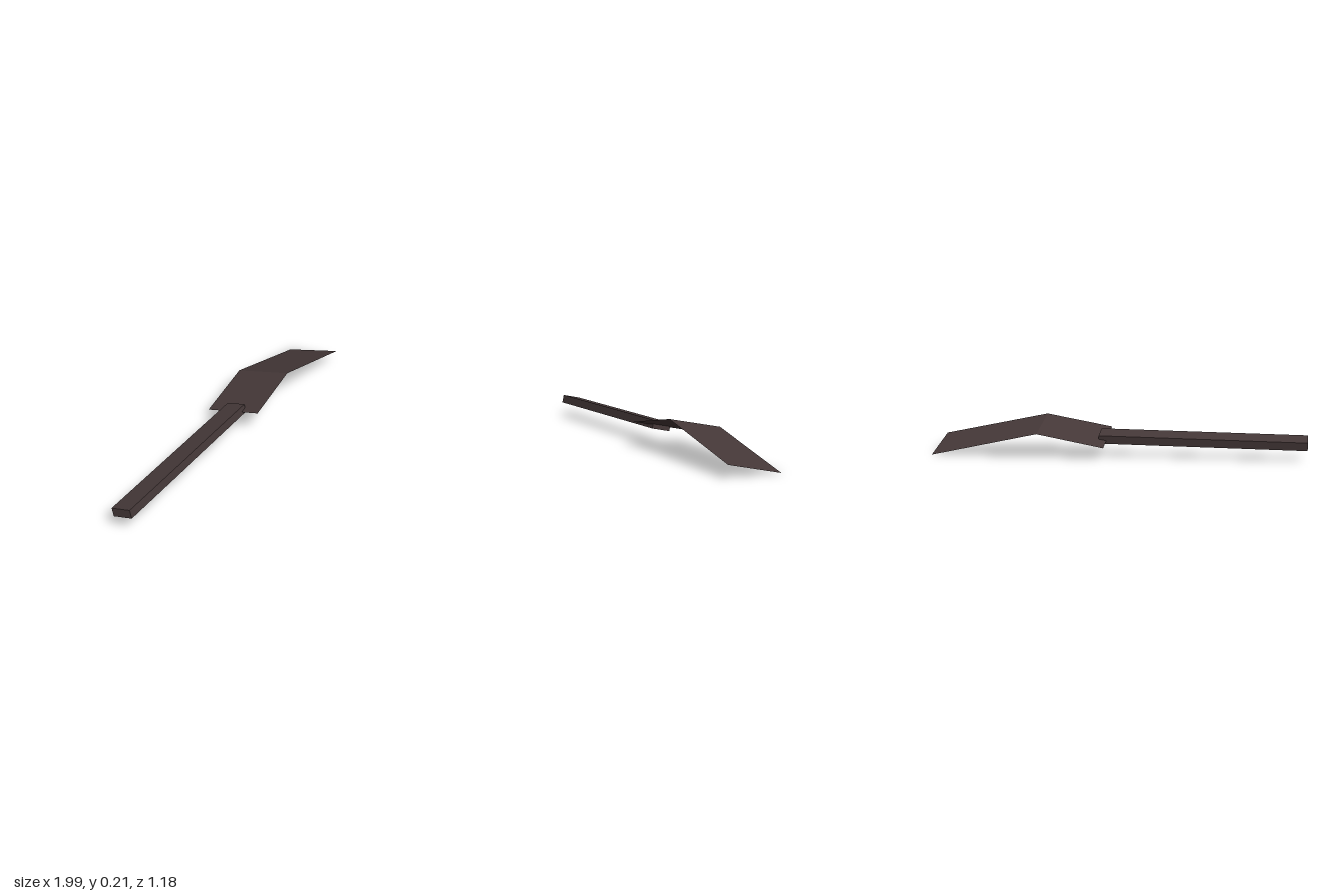
import * as THREE from 'three';

const v = (x, y, z) => new THREE.Vector3(x, y, z);

// Square bar running between two centre points, rolled toward a width direction
function bar(start, end, widthDir, width, thickness, material) {
  const along = end.clone().sub(start);
  const length = along.length();
  along.normalize();
  const up = widthDir.clone().cross(along).normalize();
  const across = along.clone().cross(up);
  const geometry = new THREE.BoxGeometry(length, thickness, width);
  geometry.applyMatrix4(new THREE.Matrix4().makeBasis(along, up, across));
  const mesh = new THREE.Mesh(geometry, material);
  mesh.position.copy(start).add(end).multiplyScalar(0.5);
  return mesh;
}

// Flat sheet folded at each cross-section, with a hard crease at each fold
function foldedSheet(sections, material) {
  const points = [];
  for (let i = 0; i < sections.length - 1; i++) {
    const [a, b] = sections[i];
    const [c, d] = sections[i + 1];
    points.push(a, b, d, a, d, c);
  }
  const geometry = new THREE.BufferGeometry().setFromPoints(points);
  geometry.computeVertexNormals();
  return new THREE.Mesh(geometry, material);
}

export function createModel() {
  const group = new THREE.Group();
  group.name = 'paddle';

  const darkBrown = new THREE.MeshStandardMaterial({ color: 0x453838, side: THREE.DoubleSide });
  darkBrown.name = 'darkBrown';

  // Long straight handle, its tip pushed through the blade
  const handle = bar(v(-0.969, 0.1, 0.535), v(0.069, 0.11, -0.016),
    v(0.055, 0.025, 0.095), 0.113, 0.048, darkBrown);
  handle.name = 'handle';

  // Thin blade that rises to a fold and then slopes down (back, front corners)
  const blade = foldedSheet([
    [v(-0.045, 0.068, -0.14), v(0.105, 0.14, 0.145)],
    [v(0.285, 0.14, -0.328), v(0.436, 0.21, -0.045)],
    [v(0.846, 0.0, -0.595), v(0.996, 0.075, -0.31)],
  ], darkBrown);
  blade.name = 'blade';

  group.add(handle, blade);
  return group;
}
